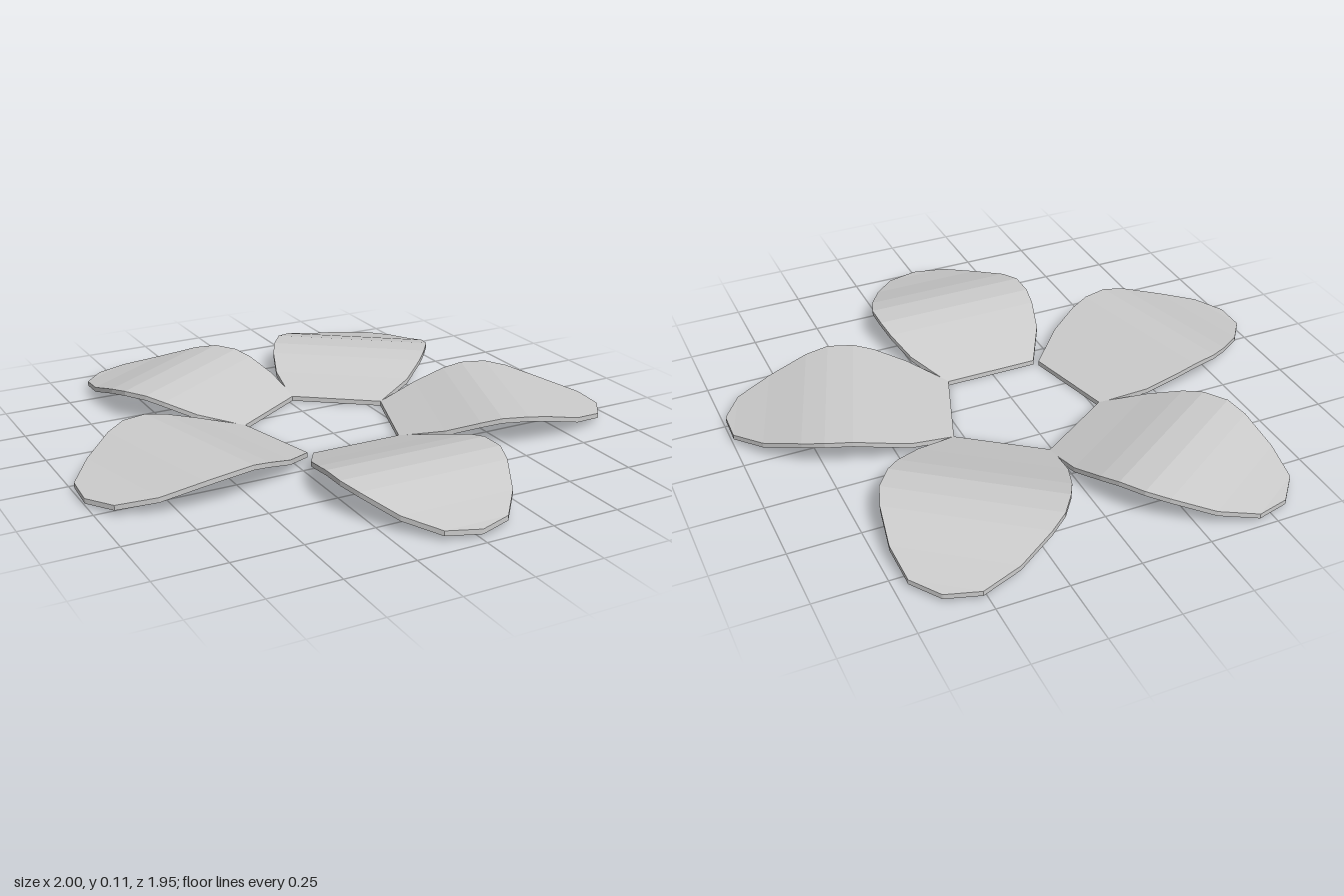
import * as THREE from 'three';

// Petal stations from base to tip: [distance from flower centre, half width, top height]
const STATIONS = [
  [0.24, 0.175, 0.018],
  [0.39, 0.26, 0.06],
  [0.51, 0.295, 0.097],
  [0.585, 0.306, 0.113],
  [0.68, 0.306, 0.114],
  [0.76, 0.28, 0.1],
  [0.895, 0.21, 0.06],
  [1.005, 0.118, 0.035],
  [1.04, 0.003, 0.03],
];
const THICKNESS = 0.018;

// Thin arched slab lofted through rectangular cross-sections
function petalGeometry() {
  const positions = [];
  const rings = STATIONS.map(([z, w, y]) => [
    [-w, y, z], [w, y, z], [w, y - THICKNESS, z], [-w, y - THICKNESS, z],
  ]);
  const quad = (a, b, c, d) => positions.push(...a, ...b, ...c, ...a, ...c, ...d);
  for (let i = 0; i < rings.length - 1; i++) {
    const p = rings[i], q = rings[i + 1];
    for (let j = 0; j < 4; j++) {
      const k = (j + 1) % 4;
      quad(p[j], q[j], q[k], p[k]);
    }
  }
  // close the base and the tip
  const base = rings[0], tip = rings[rings.length - 1];
  quad(base[0], base[1], base[2], base[3]);
  quad(tip[3], tip[2], tip[1], tip[0]);

  const geometry = new THREE.BufferGeometry();
  geometry.setAttribute('position', new THREE.Float32BufferAttribute(positions, 3));
  geometry.computeVertexNormals();
  return geometry;
}

export function createModel() {
  const flower = new THREE.Group();
  flower.name = 'flower';
  const material = new THREE.MeshStandardMaterial({ color: 0xcccccc, flatShading: true });
  const geometry = petalGeometry();

  // Five petals around an open centre, slightly unevenly spaced
  [0, 71, 143, 213, 284].forEach((degrees, i) => {
    const petal = new THREE.Mesh(geometry, material);
    petal.name = `petal${i + 1}`;
    petal.position.set(0.007, 0, -0.075);
    petal.rotation.y = THREE.MathUtils.degToRad(degrees);
    flower.add(petal);
  });
  return flower;
}
